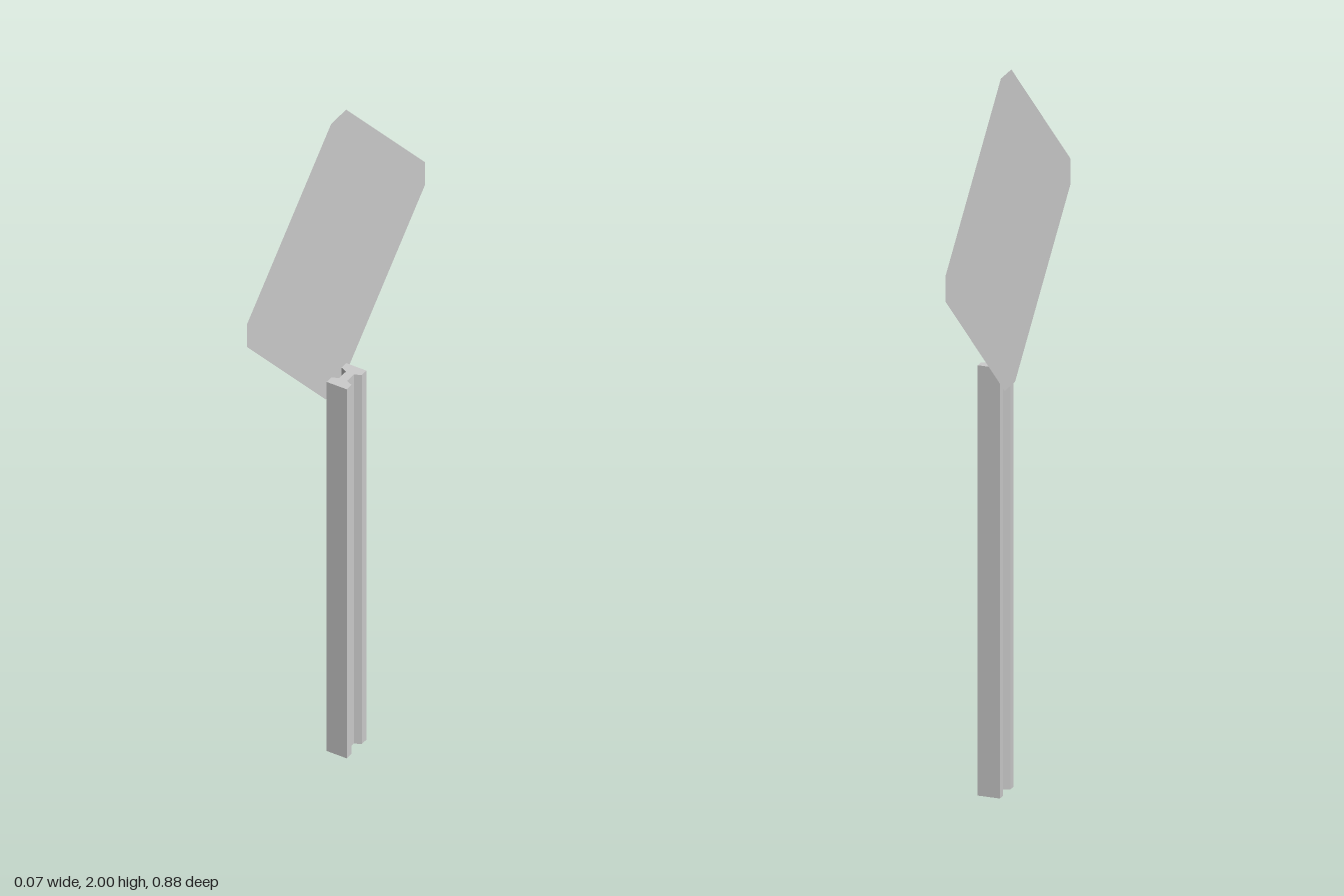
import * as THREE from 'three';

const toShape = (points) => new THREE.Shape(points.map(([x, y]) => new THREE.Vector2(x, y)));

export function createModel() {
  const group = new THREE.Group();
  const postMaterial = new THREE.MeshStandardMaterial({ color: 0xcccccc, flatShading: true });
  const plateMaterial = new THREE.MeshStandardMaterial({ color: 0xcccccc, side: THREE.DoubleSide });

  // Post: I-beam section with tapered flanges, one quarter mirrored four ways
  const quarter = [[0.012, 0.0165], [0.031, 0.0255], [0.031, 0.0485]];
  const reversed = [...quarter].reverse();
  const section = [
    ...quarter,
    ...reversed.map(([x, y]) => [-x, y]),
    ...quarter.map(([x, y]) => [-x, -y]),
    ...reversed.map(([x, y]) => [x, -y]),
  ];
  const postGeometry = new THREE.ExtrudeGeometry(toShape(section), { depth: 1.192, bevelEnabled: false });
  postGeometry.rotateX(-Math.PI / 2);
  const post = new THREE.Mesh(postGeometry, postMaterial);
  post.name = 'post';
  post.position.set(0.004, 0, 0.011);
  group.add(post);

  // Sign plate: thin diamond with clipped corners, half the outline turned by 180 degrees
  const half = [[-0.05, 0.437], [0.024, 0.437], [0.439, 0.05], [0.439, -0.024]];
  const outline = [...half, ...half.map(([z, y]) => [-z, -y])];
  const plateGeometry = new THREE.ShapeGeometry(toShape(outline));
  plateGeometry.rotateY(-Math.PI / 2);
  const plate = new THREE.Mesh(plateGeometry, plateMaterial);
  plate.name = 'signPlate';
  plate.position.set(-0.035, 1.563, 0);
  group.add(plate);

  return group;
}
